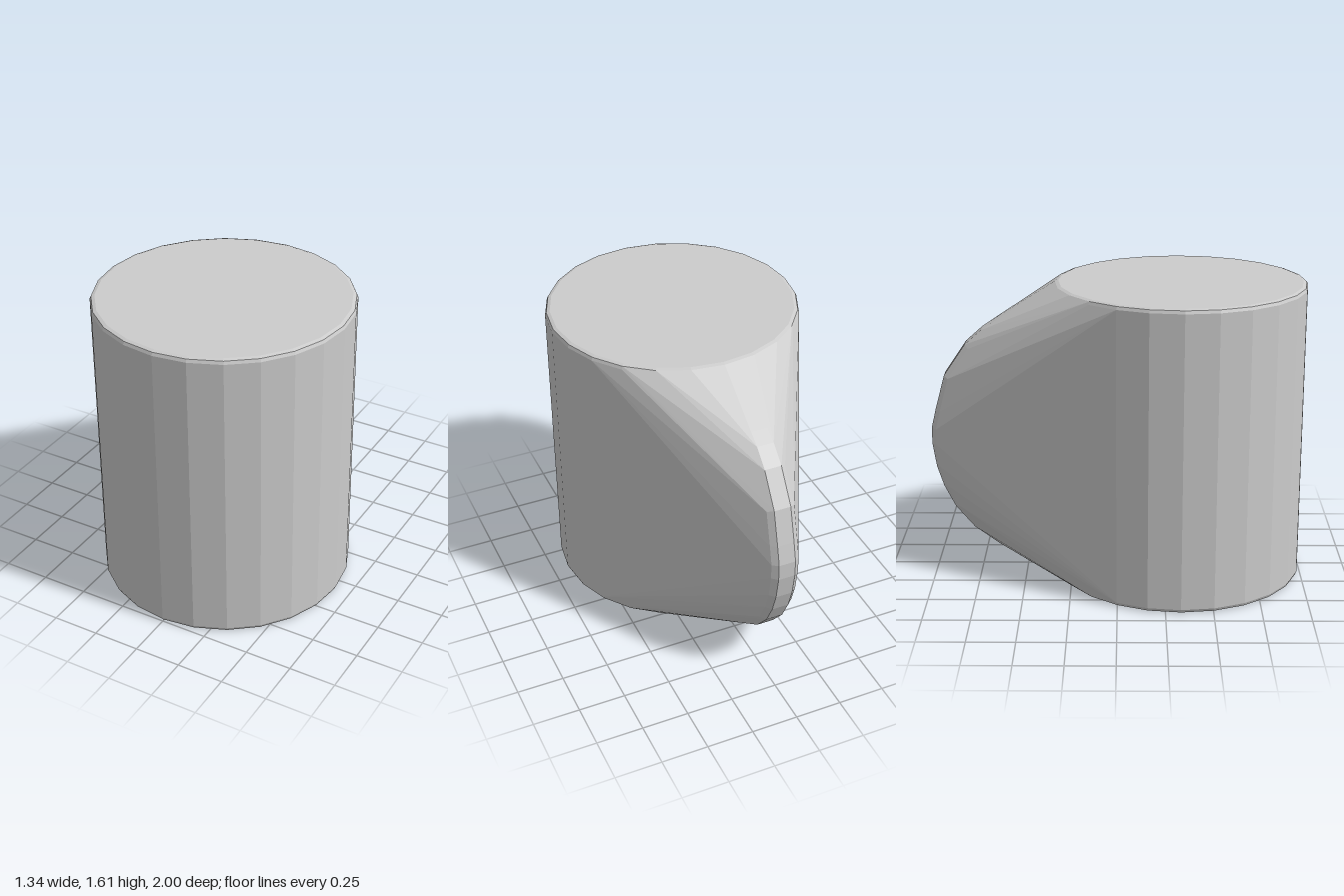
import * as THREE from 'three';
import { ConvexGeometry } from 'three/addons/geometries/ConvexGeometry.js';

export function createModel() {
  const group = new THREE.Group();
  const points = [];

  // Round body: 24 sides with a small bevel at both rims
  const rings = [[0.645, 0], [0.663, 0.006], [0.67, 0.022], [0.67, 1.588], [0.663, 1.604], [0.645, 1.61]];
  for (const [r, y] of rings) {
    for (let i = 0; i < 24; i++) {
      const a = (i / 24) * Math.PI * 2;
      points.push(new THREE.Vector3(r * Math.cos(a), y, 0.33 + r * Math.sin(a)));
    }
  }

  // Curved back ridge: outline (z, y) with a rounded section (half width, depth)
  const outline = [
    [-0.65, 1.405], [-0.72, 1.36], [-0.81, 1.28], [-0.925, 1.11], [-0.975, 0.925], [-1, 0.82],
    [-1, 0.73], [-0.98, 0.6], [-0.945, 0.49], [-0.885, 0.37], [-0.785, 0.25], [-0.65, 0.15],
  ];
  const section = [[0.045, 0], [0.075, 0.025], [0.09, 0.07]];
  outline.forEach(([z, y], i) => {
    const [z0, y0] = outline[Math.max(i - 1, 0)];
    const [z1, y1] = outline[Math.min(i + 1, outline.length - 1)];
    const len = Math.hypot(z1 - z0, y1 - y0);
    const nz = (y1 - y0) / len, ny = -(z1 - z0) / len;
    for (const [w, d] of section) {
      for (const side of [-1, 1]) {
        points.push(new THREE.Vector3(-0.04 + side * w, y - ny * d, z - nz * d));
      }
    }
  });

  // One convex shell wraps the body and the ridge
  const shell = new THREE.Mesh(
    new ConvexGeometry(points),
    new THREE.MeshStandardMaterial({ color: 0xcccccc, flatShading: true })
  );
  shell.name = 'convexShell';
  group.add(shell);
  return group;
}
